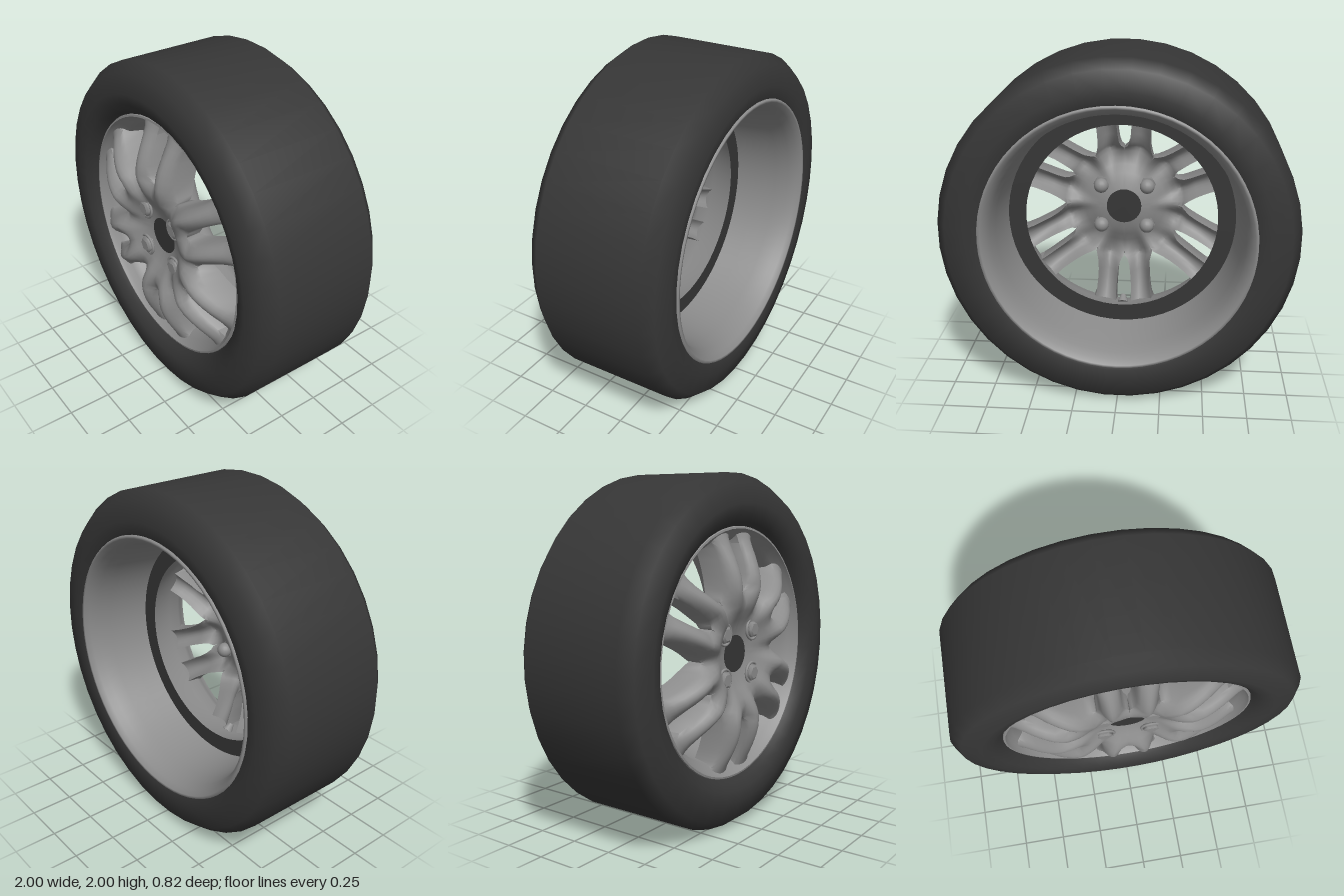
import * as THREE from 'three';
import { mergeGeometries, toCreasedNormals } from 'three/addons/utils/BufferGeometryUtils.js';

const rubber = new THREE.MeshStandardMaterial({ color: 0x363636 });
rubber.name = 'dark rubber';
const alloy = new THREE.MeshStandardMaterial({ color: 0x8c8c8c });
alloy.name = 'grey alloy';

const RAD = Math.PI / 180;

// Surface of revolution around z; points are [radius, z]
function revolve(points, segments, phiStart = 0) {
  const profile = points.map(([r, z]) => new THREE.Vector2(r, z));
  return new THREE.LatheGeometry(profile, segments, phiStart).rotateX(Math.PI / 2);
}

// Cylinder along z between z0 and z1
function rod(rBack, rFront, z0, z1, sides, start = 0) {
  return new THREE.CylinderGeometry(rFront, rBack, z1 - z0, sides, 1, false, start)
    .rotateX(Math.PI / 2).translate(0, 0, (z0 + z1) / 2);
}

// Spoke rows: radius, crest z, angles of the inner and outer edges, drop at each edge
const ROWS = [
  [0.10, 0.302, 0, 30, 0, 0],
  [0.15, 0.315, 0, 30, 0, 0],
  [0.20, 0.338, 0, 30, 0, 0.004],
  [0.25, 0.368, 0, 30, 0.001, 0.02],
  [0.29, 0.388, 0, 30, 0.008, 0.04],
  [0.33, 0.401, 0, 30, 0.03, 0.07],
  [0.355, 0.407, 0.3, 29.5, 0.05, 0.085],
  [0.37, 0.409, 3, 27, 0.055, 0.09],
  [0.40, 0.41, 4.6, 23.5, 0.055, 0.08],
  [0.45, 0.403, 5, 20.5, 0.055, 0.075],
  [0.50, 0.388, 5, 18.7, 0.05, 0.07],
  [0.56, 0.363, 4.8, 17.2, 0.045, 0.06],
  [0.62, 0.331, 4.4, 16.6, 0.035, 0.045],
  [0.655, 0.311, 3.8, 17, 0.025, 0.035],
  [0.69, 0.296, 3, 17.8, 0.02, 0.025],
];
const ACROSS = 8;

// One spoke with its share of the hub, lofted outward as a closed curved shell
function spokeGeometry(centre, side) {
  const positions = [], index = [];
  const ring = 2 * (ACROSS + 1);
  for (const [r, crest, aIn, aOut, dropIn, dropOut] of ROWS) {
    const round = THREE.MathUtils.smoothstep(r, 0.34, 0.42);
    const shell = 0.08 + 0.05 * round;
    for (let j = 0; j < ring; j++) {
      const front = j <= ACROSS;
      const t = (front ? j : ring - 1 - j) / ACROSS * 2 - 1;
      const wave = 0.5 - 0.5 * Math.cos(Math.PI * t);
      const fall = THREE.MathUtils.lerp(wave, t * t, round);
      const z = crest - (t < 0 ? dropIn : dropOut) * fall - (front ? 0 : shell);
      const a = (centre + side * (aIn + (aOut - aIn) * (t + 1) / 2)) * RAD;
      positions.push(r * Math.cos(a), r * Math.sin(a), z);
    }
  }
  for (let i = 0; i < ROWS.length - 1; i++) {
    for (let j = 0; j < ring; j++) {
      const k = (j + 1) % ring;
      const a = i * ring + j, b = a + ring, c = (i + 1) * ring + k, d = i * ring + k;
      if (side > 0) index.push(a, b, c, a, c, d);
      else index.push(a, c, b, a, d, c);
    }
  }
  const g = new THREE.BufferGeometry();
  g.setAttribute('position', new THREE.Float32BufferAttribute(positions, 3));
  g.setIndex(index);
  return g;
}

export function createModel() {
  const wheel = new THREE.Group();
  wheel.name = 'wheel';
  wheel.position.y = 1;
  const add = (name, geometry, material, parent = wheel) => {
    const mesh = new THREE.Mesh(geometry, material);
    mesh.name = name;
    parent.add(mesh);
    return mesh;
  };

  // Tyre with chamfered shoulders and a front wall that rolls in to the rim
  add('tyre', revolve([
    [0.755, -0.39], [0.78, -0.402], [0.84, -0.41], [0.95, -0.385], [1.003, -0.32],
    [1.003, 0.29], [0.95, 0.36], [0.84, 0.388], [0.78, 0.374], [0.735, 0.345], [0.705, 0.305],
  ], 40, Math.PI / 40), rubber);

  // Front lip, the shelf that meets the spokes and the wall behind it
  add('frontRim', toCreasedNormals(revolve([
    [0.718, 0.31], [0.711, 0.325], [0.7, 0.327], [0.686, 0.3],
    [0.66, 0.275], [0.636, 0.24], [0.62, 0.16], [0.565, 0.004],
  ], 64), 0.6), alloy);

  // Dark band on the back of the dish
  add('innerBand', revolve([[0.565, 0.004], [0.668, 0.004]], 64), rubber);

  // Barrel, open at the back
  add('barrel', revolve([
    [0.668, 0.004], [0.68, -0.12], [0.692, -0.25], [0.705, -0.33],
    [0.725, -0.375], [0.748, -0.405], [0.762, -0.406], [0.77, -0.39],
  ], 64), alloy);

  // Six pairs of spokes that merge into the dished hub
  const spokes = [];
  for (let k = 0; k < 6; k++) {
    for (const side of [1, -1]) spokes.push(spokeGeometry(30 + 60 * k, side));
  }
  add('spokes', toCreasedNormals(mergeGeometries(spokes), 0.9), alloy);

  // Centre bore
  add('centreBore', rod(0.106, 0.106, 0.215, 0.306, 32), rubber);

  // Four wheel bolts, each with a seat and a rounded back end
  for (const sx of [1, -1]) {
    for (const sy of [1, -1]) {
      const bolt = new THREE.Group();
      bolt.name = 'bolt';
      bolt.position.set(sx * 0.14, sy * 0.127, 0);
      add('boltSeat', new THREE.TorusGeometry(0.059, 0.008, 8, 24).translate(0, 0, 0.332), alloy, bolt);
      add('boltHead', rod(0.05, 0.05, 0.25, 0.345, 6, Math.PI / 6), alloy, bolt);
      add('boltCrown', rod(0.05, 0.036, 0.345, 0.354, 6, Math.PI / 6), alloy, bolt);
      add('boltBack', new THREE.SphereGeometry(0.045, 16, 12).translate(0, 0, 0.225), alloy, bolt);
      wheel.add(bolt);
    }
  }

  // Air valve at the bottom of the dish
  const valve = add('valve', new THREE.CylinderGeometry(0.016, 0.034, 0.05, 12), alloy);
  valve.position.set(0, -0.595, 0.15);
  valve.rotation.x = 0.8;

  const model = new THREE.Group();
  model.name = 'model';
  model.add(wheel);
  return model;
}
